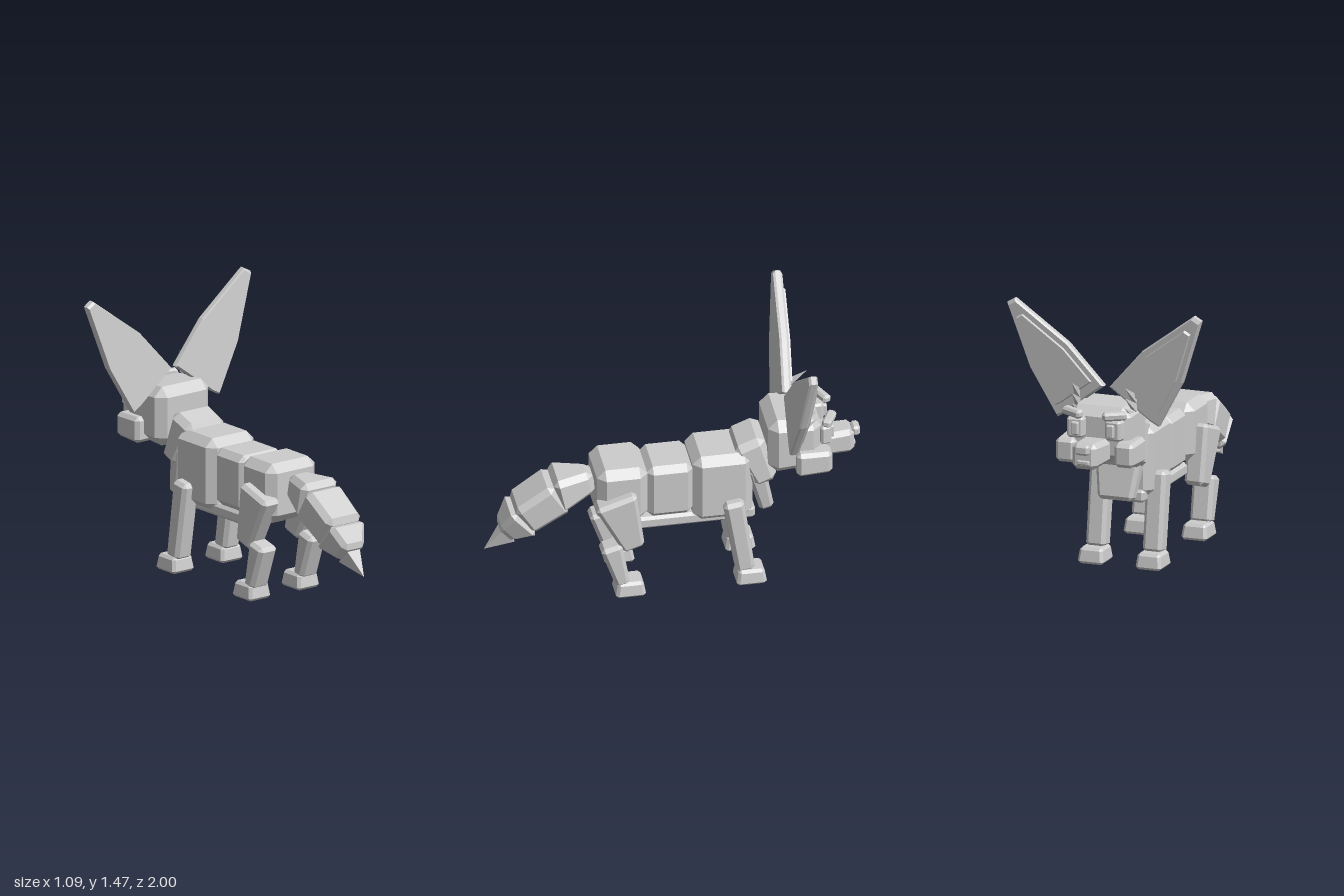
import * as THREE from 'three';
import { ConvexGeometry } from 'three/addons/geometries/ConvexGeometry.js';

const clay = new THREE.MeshStandardMaterial({ color: 0xcccccc });
clay.name = 'clay grey';

const V = (x, y, z) => new THREE.Vector3(x, y, z);

export function createModel() {
  const model = new THREE.Group();
  model.name = 'bigEaredFox';

  const add = (name, geometry) => {
    const mesh = new THREE.Mesh(geometry, clay);
    mesh.name = name;
    model.add(mesh);
    return mesh;
  };

  // Chamfered, optionally tapered block running from point a to point b.
  // s0 and s1 are [width in x, height across] at the two ends.
  const block = (name, a, b, s0, s1 = s0, c = 0.03) => {
    const from = V(...a), to = V(...b);
    const axis = to.clone().sub(from);
    const len = axis.length();
    axis.normalize();
    const side = V(1, 0, 0).addScaledVector(axis, -axis.x).normalize();
    const up = axis.clone().cross(side);
    const pts = [];
    for (const sx of [-1, 1]) for (const sy of [-1, 1]) for (const e of [0, 1]) {
      const [w, h] = e ? s1 : s0;
      const at = (dx, dy, dz) => from.clone()
        .addScaledVector(side, sx * (w / 2 - dx))
        .addScaledVector(up, sy * (h / 2 - dy))
        .addScaledVector(axis, e ? len - dz : dz);
      pts.push(at(c, c, 0), at(c, 0, c), at(0, c, c));
    }
    return add(name, new ConvexGeometry(pts));
  };

  // Pointed four-sided spike
  const spike = (name, base, tip, w, h) => {
    const from = V(...base), axis = V(...tip).sub(from).normalize();
    const up = axis.clone().cross(V(1, 0, 0)).normalize();
    const pts = [V(...tip)];
    for (const i of [-1, 1]) for (const j of [-1, 1]) {
      pts.push(from.clone().addScaledVector(up, (i * h) / 2).add(V((j * w) / 2, 0, 0)));
    }
    return add(name, new ConvexGeometry(pts));
  };

  // Body
  block('chest', [0, 0.568, -0.09], [0, 0.568, -0.41], [0.32, 0.395], [0.32, 0.395], 0.045);
  block('waist', [0, 0.575, 0.155], [0, 0.575, -0.095], [0.285, 0.31], [0.285, 0.31], 0.035);
  block('hips', [0, 0.585, 0.42], [0, 0.585, 0.15], [0.33, 0.32], [0.33, 0.32], 0.045);
  block('belly', [0, 0.385, 0.2], [0, 0.385, -0.425], [0.25, 0.07], [0.25, 0.07], 0.015);
  block('neck', [0, 0.815, -0.385], [0, 0.56, -0.485], [0.26, 0.175], [0.29, 0.14], 0.035);
  block('bib', [0, 0.66, -0.425], [0, 0.375, -0.495], [0.27, 0.1], [0.2, 0.08], 0.02);

  // Head
  block('head', [0, 0.795, -0.49], [0, 0.795, -0.775], [0.36, 0.32], [0.35, 0.3], 0.05);
  block('muzzle', [0, 0.72, -0.76], [0, 0.725, -0.965], [0.16, 0.13], [0.14, 0.14], 0.025);
  block('nose', [0, 0.768, -0.955], [0, 0.768, -1], [0.08, 0.055], [0.08, 0.055], 0.012);
  block('mouth', [0, 0.695, -0.955], [0, 0.695, -0.975], [0.07, 0.025], [0.07, 0.025], 0.006);

  // Tail
  block('tailBase', [0, 0.63, 0.42], [0, 0.585, 0.63], [0.14, 0.14], [0.24, 0.2], 0.03);
  block('tailMiddle', [0, 0.585, 0.6], [0, 0.45, 0.81], [0.24, 0.2], [0.23, 0.19], 0.03);
  block('tailEnd', [0, 0.45, 0.79], [0, 0.355, 0.895], [0.23, 0.19], [0.15, 0.13], 0.025);
  spike('tailTip', [0, 0.345, 0.875], [0, 0.25, 1], 0.09, 0.1);

  // Ear outline (x, y) and its leaning plane
  const ear = [[0.015, 1.025], [0.21, 1.245], [0.505, 1.465], [0.547, 1.44],
    [0.43, 1.09], [0.285, 0.83], [0.24, 0.855]];
  const earLayer = (s, scale, depth) => ear.map(([x, y]) => {
    const px = 0.3 + (x - 0.3) * scale, py = 1.12 + (y - 1.12) * scale;
    return V(s * px, py, -0.575 - 0.095 * (py - 0.83) - depth);
  });

  // Mirrored parts
  for (const s of [1, -1]) {
    const n = s > 0 ? 'left' : 'right';

    add(n + 'Ear', new ConvexGeometry([
      ...earLayer(s, 0.97, 0), ...earLayer(s, 1, 0.012),
      ...earLayer(s, 1, 0.038), ...earLayer(s, 0.95, 0.05)]));
    add(n + 'InnerEar', new ConvexGeometry([
      ...earLayer(s, 0.78, 0.045), ...earLayer(s, 0.75, 0.065)]));
    for (let i = 0; i < 3; i++) {
      spike(n + 'EarTuft' + i, [s * 0.16, 0.975 - i * 0.05, -0.63],
        [s * 0.15, 1.06 - i * 0.055, -0.75], 0.025, 0.045);
    }

    block(n + 'Cheek', [s * 0.165, 0.708, -0.63], [s * 0.165, 0.708, -0.82],
      [0.12, 0.14], [0.11, 0.13], 0.02);
    block(n + 'Brow', [s * 0.175, 0.925, -0.79], [s * 0.06, 0.92, -0.845],
      [0.05, 0.045], [0.05, 0.045], 0.012);
    block(n + 'Eye', [s * 0.11, 0.84, -0.765], [s * 0.105, 0.84, -0.825],
      [0.1, 0.11], [0.09, 0.11], 0.012);
    block(n + 'Pupil', [s * 0.1, 0.84, -0.815], [s * 0.1, 0.84, -0.845],
      [0.04, 0.07], [0.04, 0.07], 0.006);

    // Legs
    block(n + 'FrontLeg', [s * 0.16, 0.505, -0.295], [s * 0.16, 0.075, -0.36],
      [0.11, 0.11], [0.11, 0.1], 0.02);
    block(n + 'Thigh', [s * 0.165, 0.595, 0.335], [s * 0.16, 0.285, 0.235],
      [0.115, 0.225], [0.11, 0.125], 0.02);
    block(n + 'Shin', [s * 0.165, 0.315, 0.36], [s * 0.165, 0.07, 0.295],
      [0.12, 0.115], [0.12, 0.08], 0.02);
    for (const [part, z] of [['Front', -0.387], ['Hind', 0.257]]) {
      block(n + part + 'Paw', [s * 0.163, 0, z], [s * 0.163, 0.088, z],
        [0.145, 0.16], [0.13, 0.14], 0.015);
    }
  }
  return model;
}
